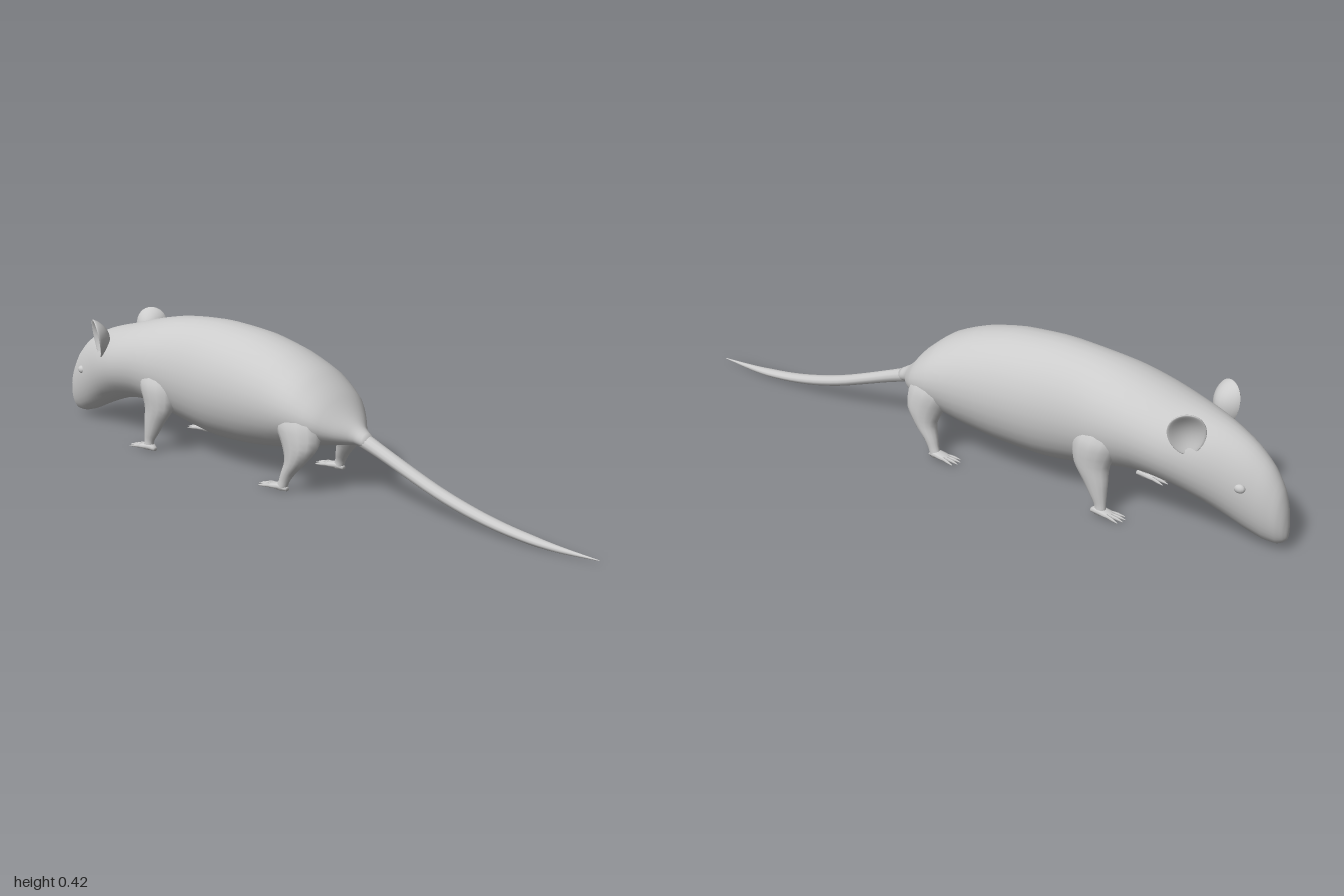
import * as THREE from 'three';

const material = new THREE.MeshStandardMaterial({ color: 0xcccccc });

// Smooth closed skin through elliptical sections [x, y, z, radiusX, radiusOther].
// upright: rings stand in the xy plane (listed towards +z); otherwise they lie
// in the xz plane (listed downwards).
function loft(name, sections, { upright = true, sides = 20, steps = 3 } = {}) {
  const centres = new THREE.CatmullRomCurve3(sections.map(s => new THREE.Vector3(s[0], s[1], s[2])));
  const radii = new THREE.CatmullRomCurve3(sections.map(s => new THREE.Vector3(s[3], s[4], 0)));
  const rings = (sections.length - 1) * steps;
  const positions = [], index = [];
  for (let i = 0; i <= rings; i++) {
    const c = centres.getPoint(i / rings), r = radii.getPoint(i / rings);
    for (let j = 0; j < sides; j++) {
      const a = j / sides * Math.PI * 2;
      const u = Math.cos(a) * r.x, v = Math.sin(a) * r.y;
      positions.push(c.x + u, c.y + (upright ? v : 0), c.z + (upright ? 0 : v));
    }
  }
  for (let i = 0; i < rings; i++) {
    for (let j = 0; j < sides; j++) {
      const k = (j + 1) % sides;
      const a = i * sides + j, b = i * sides + k, c = a + sides, d = b + sides;
      index.push(a, b, c, b, d, c);
    }
  }
  // End caps
  const first = positions.length / 3, last = first + 1;
  positions.push(...centres.getPoint(0).toArray(), ...centres.getPoint(1).toArray());
  for (let j = 0; j < sides; j++) {
    const k = (j + 1) % sides;
    index.push(first, k, j, last, rings * sides + j, rings * sides + k);
  }
  const geometry = new THREE.BufferGeometry();
  geometry.setAttribute('position', new THREE.Float32BufferAttribute(positions, 3));
  geometry.setIndex(index);
  geometry.computeVertexNormals();
  const mesh = new THREE.Mesh(geometry, material);
  mesh.name = name;
  return mesh;
}

// Head and trunk: z, underside, back line, half width
const bodyProfile = [
  [-1.0, 0.04, 0.075, 0.008], [-0.992, 0.028, 0.125, 0.024], [-0.975, 0.019, 0.18, 0.04],
  [-0.94, 0.021, 0.235, 0.056], [-0.89, 0.038, 0.28, 0.072], [-0.83, 0.066, 0.313, 0.09],
  [-0.76, 0.095, 0.338, 0.113], [-0.68, 0.118, 0.36, 0.132], [-0.59, 0.125, 0.386, 0.14],
  [-0.5, 0.108, 0.407, 0.143], [-0.4, 0.085, 0.42, 0.138], [-0.28, 0.07, 0.425, 0.147],
  [-0.15, 0.075, 0.415, 0.15], [-0.03, 0.092, 0.388, 0.147], [0.07, 0.115, 0.345, 0.141],
  [0.14, 0.135, 0.29, 0.118], [0.19, 0.145, 0.235, 0.073], [0.225, 0.15, 0.203, 0.034],
  [0.26, 0.143, 0.182, 0.02],
];

// Tail: z, height, half width, half height
const tailProfile = [
  [0.16, 0.19, 0.03, 0.03], [0.22, 0.173, 0.025, 0.024], [0.3, 0.145, 0.021, 0.02],
  [0.4, 0.108, 0.021, 0.018], [0.5, 0.073, 0.021, 0.017], [0.6, 0.046, 0.02, 0.016],
  [0.7, 0.027, 0.019, 0.014], [0.8, 0.016, 0.017, 0.012], [0.88, 0.012, 0.01, 0.009],
  [1.0, 0.014, 0.001, 0.001],
];

const hindLeg = [
  [0.075, 0.29, 0.05, 0.02, 0.03], [0.088, 0.21, 0.07, 0.054, 0.08], [0.103, 0.145, 0.092, 0.043, 0.06],
  [0.113, 0.1, 0.085, 0.031, 0.035], [0.12, 0.06, 0.062, 0.021, 0.022],
  [0.125, 0.03, 0.048, 0.014, 0.017], [0.125, 0.009, 0.04, 0.015, 0.018],
];
const foreLeg = [
  [0.07, 0.3, -0.5, 0.025, 0.04], [0.099, 0.225, -0.485, 0.051, 0.072], [0.113, 0.15, -0.473, 0.036, 0.055],
  [0.119, 0.1, -0.49, 0.026, 0.038], [0.122, 0.06, -0.503, 0.019, 0.025],
  [0.125, 0.03, -0.512, 0.013, 0.017], [0.125, 0.009, -0.512, 0.015, 0.018],
];

function makeLeg(name, sections, heel, side) {
  const group = new THREE.Group();
  group.name = name;
  const x = side * 0.125;
  group.add(loft('limb', sections.map(s => [side * s[0], ...s.slice(1)]), { upright: false, sides: 14 }));
  // Flat paw
  group.add(loft('paw', [
    [x, 0.012, heel - 0.068, 0.017, 0.005], [x, 0.015, heel - 0.045, 0.019, 0.009],
    [x, 0.017, heel - 0.018, 0.016, 0.011], [x, 0.012, heel, 0.008, 0.006],
  ], { sides: 10 }));
  // Four spread toes
  for (let i = 0; i < 4; i++) {
    const spread = (i - 1.5) / 1.5;
    const reach = 0.107 - 0.013 * Math.abs(spread);
    group.add(loft('toe', [
      [x + spread * 0.021, 0.009, heel - reach, 0.001, 0.001],
      [x + spread * 0.017, 0.012, heel - reach + 0.02, 0.004, 0.005],
      [x + spread * 0.011, 0.014, heel - 0.052, 0.005, 0.006],
    ], { sides: 6, steps: 2 }));
  }
  return group;
}

// Cupped ear: a flattened ball, narrow at the root, with a hollow front
function makeEar(side) {
  const geometry = new THREE.SphereGeometry(1, 24, 18);
  const p = geometry.attributes.position;
  for (let i = 0; i < p.count; i++) {
    const x = p.getX(i), y = p.getY(i), z = p.getZ(i);
    const hollow = 0.028 * Math.max(0, 1 - x * x - y * y);
    p.setXYZ(i, x * (0.05 + 0.008 * y), y * 0.062, z * 0.013 - hollow);
  }
  geometry.computeVertexNormals();
  const ear = new THREE.Mesh(geometry, material);
  ear.name = side > 0 ? 'leftEar' : 'rightEar';
  ear.position.set(side * 0.116, 0.316, -0.75);
  ear.rotation.set(0.15, Math.PI - side * 1.05, side * 0.12, 'YXZ');
  return ear;
}

export function createModel() {
  const model = new THREE.Group();
  model.name = 'rodent';
  model.add(loft('body', bodyProfile.map(([z, low, high, w]) =>
    [0, (low + high) / 2, z, w, (high - low) / 2]), { sides: 32 }));
  model.add(loft('tail', tailProfile.map(([z, y, w, h]) => [0, y, z, w, h]), { sides: 12 }));

  for (const side of [1, -1]) {
    const label = side > 0 ? 'left' : 'right';
    model.add(makeLeg(label + 'HindLeg', hindLeg, 0.062, side));
    model.add(makeLeg(label + 'ForeLeg', foreLeg, -0.485, side));
    model.add(makeEar(side));
    // Eye, barely raised from the cheek
    const eye = new THREE.Mesh(new THREE.SphereGeometry(0.016, 14, 10), material);
    eye.name = label + 'Eye';
    eye.scale.set(0.7, 0.8, 1);
    eye.position.set(side * 0.069, 0.183, -0.885);
    model.add(eye);
  }
  return model;
}
